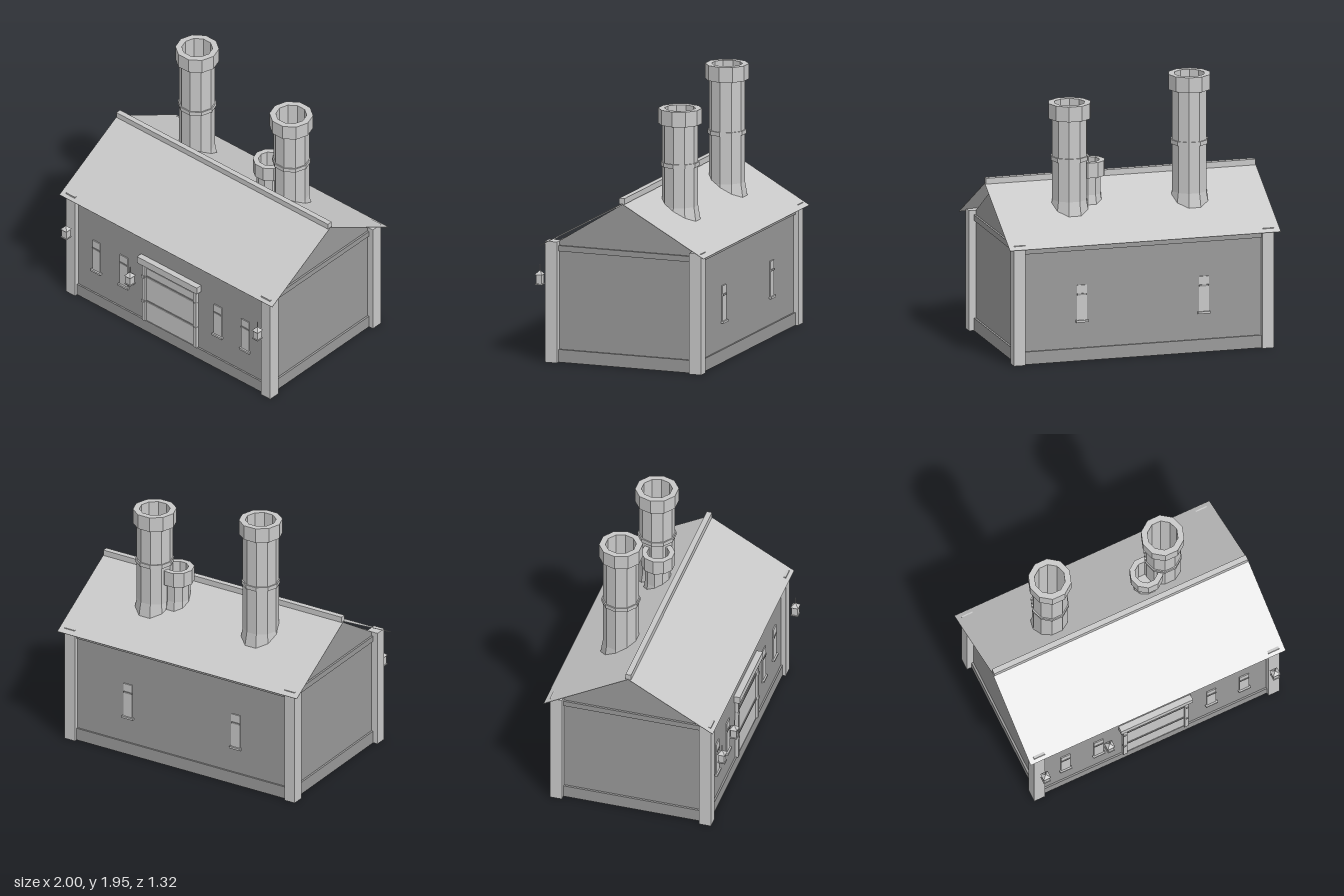
import * as THREE from 'three';

const light = new THREE.MeshStandardMaterial({ color: 0xc8c8c8 });
light.name = 'light grey';
const dark = new THREE.MeshStandardMaterial({ color: 0x999999 });
dark.name = 'dark grey';

const MID = -0.03; // z of the building's long axis

function add(parent, name, geometry, material) {
  const mesh = new THREE.Mesh(geometry, material);
  mesh.name = name;
  parent.add(mesh);
  return mesh;
}

// Box given by its lower and upper limits on each axis
function box(parent, name, x0, x1, y0, y1, z0, z1, material) {
  const mesh = add(parent, name, new THREE.BoxGeometry(x1 - x0, y1 - y0, z1 - z0), material);
  mesh.position.set((x0 + x1) / 2, (y0 + y1) / 2, (z0 + z1) / 2);
  return mesh;
}

function faceted(geometry) {
  const flat = geometry.toNonIndexed();
  flat.computeVertexNormals();
  return flat;
}

// Ten-sided hollow chimney: flared skirt, shaft, optional band, wide cap
function chimney(parent, name, x, z, r, capR, holeR, base, capY, top, bandY) {
  const pts = [[r + 0.02, base], [r, base + 0.12]];
  if (bandY) pts.push([r, bandY], [r + 0.009, bandY], [r + 0.009, bandY + 0.03], [r, bandY + 0.03]);
  pts.push([r, capY], [capR, capY], [capR, top], [holeR, top], [holeR, base + 0.1], [0, base + 0.1]);
  const geometry = new THREE.LatheGeometry(pts.map(p => new THREE.Vector2(...p)), 10);
  geometry.rotateY(Math.PI / 10);
  add(parent, name, faceted(geometry), light).position.set(x, 0, z);
}

// Lantern: square body, pyramid hood and hanging rod
function lantern(parent, x, y, z) {
  const g = new THREE.Group();
  g.name = 'lantern';
  box(g, 'lanternBody', -0.022, 0.022, 0, 0.075, -0.022, 0.022, light);
  box(g, 'lanternBase', -0.027, 0.027, 0, 0.008, -0.027, 0.027, light);
  const hood = new THREE.ConeGeometry(0.041, 0.03, 4);
  hood.rotateY(Math.PI / 4);
  add(g, 'lanternHood', faceted(hood), light).position.y = 0.088;
  box(g, 'lanternRod', -0.003, 0.003, 0.09, 0.145, -0.003, 0.003, light);
  g.position.set(x, y, z);
  parent.add(g);
}

// Narrow window with sill and crossbar; side is +1 on the front, -1 on the back
function windowSlit(parent, x, wallZ, side) {
  const g = new THREE.Group();
  g.name = 'window';
  box(g, 'pane', -0.036, 0.036, 0.295, 0.55, 0, 0.008, light);
  box(g, 'crossbar', -0.036, 0.036, 0.477, 0.49, 0, 0.013, dark);
  box(g, 'windowSill', -0.046, 0.046, 0.28, 0.295, 0, 0.02, light);
  g.position.set(x, 0, wallZ);
  if (side < 0) g.rotation.y = Math.PI;
  parent.add(g);
}

// Open rectangular rim standing under the floor
function rim(parent, name, x, z, w, d, t, y0, y1) {
  for (const s of [-1, 1]) {
    const cx = x + s * (w - t) / 2, cz = z + s * (d - t) / 2;
    box(parent, name, cx - t / 2, cx + t / 2, y0, y1, z - d / 2, z + d / 2, light);
    box(parent, name, x - w / 2 + t, x + w / 2 - t, y0, y1, cz - t / 2, cz + t / 2, light);
  }
}

export function createModel() {
  const model = new THREE.Group();
  model.name = 'workshop';

  // Walls and gables as one extruded pentagon
  const section = new THREE.Shape();
  section.moveTo(-0.56, 0.08);
  section.lineTo(0.56, 0.08);
  section.lineTo(0.56, 0.84);
  section.lineTo(0, 1.19);
  section.lineTo(-0.56, 0.84);
  section.closePath();
  const walls = new THREE.ExtrudeGeometry(section, { depth: 1.82, bevelEnabled: false });
  walls.translate(0, 0, -0.91);
  walls.rotateY(Math.PI / 2);
  add(model, 'walls', walls, dark).position.z = MID;

  // Sill and top beams around the walls
  for (const [name, y0, y1] of [['sillBeam', 0, 0.092], ['topBeam', 0.802, 0.843]]) {
    for (const s of [-1, 1]) {
      const z = MID + s * 0.55;
      box(model, name, -0.89, 0.89, y0, y1, z - 0.022, z + 0.022, dark);
      box(model, name, s * 0.905 - 0.02, s * 0.905 + 0.02, y0, y1, MID - 0.54, MID + 0.54, dark);
    }
  }

  // Corner posts
  for (const sx of [-1, 1]) for (const sz of [-1, 1]) {
    const x = sx * 0.918, z = MID + sz * 0.55;
    box(model, 'cornerPost', x - 0.043, x + 0.043, 0, 0.875, z - 0.045, z + 0.045, light);
  }

  // Roof sheets with thin battens below, and ridge cap
  const rise = 0.35, run = 0.625, slope = Math.atan2(rise, run), len = Math.hypot(rise, run);
  for (const s of [-1, 1]) {
    const side = new THREE.Group();
    side.name = s > 0 ? 'frontRoof' : 'backRoof';
    box(side, 'roofSheet', -1, 1, -0.004, 0, -len / 2, len / 2, light);
    for (let i = -5; i <= 5; i++) {
      const x = i * 0.165;
      box(side, 'roofBatten', x - 0.009, x + 0.009, -0.009, -0.004, -len / 2 + 0.015, len / 2 - 0.015, light);
    }
    side.position.set(0, 1.2 - rise / 2, MID - 0.005 + s * run / 2);
    side.rotation.x = s * slope;
    model.add(side);
  }
  box(model, 'ridgeCap', -0.995, 0.995, 1.195, 1.237, -0.055, -0.015, light);

  // Chimneys
  chimney(model, 'leftTallChimney', -0.445, -0.255, 0.128, 0.155, 0.11, 0.98, 1.84, 1.95, 1.445);
  chimney(model, 'rightTallChimney', 0.44, -0.255, 0.128, 0.155, 0.11, 0.98, 1.69, 1.8, 1.385);
  chimney(model, 'shortChimney', 0.285, -0.2, 0.092, 0.12, 0.08, 1.0, 1.25, 1.36, 0);

  // Windows
  const frontZ = MID + 0.56, backZ = MID - 0.56;
  for (const s of [-1, 1]) {
    windowSlit(model, s * 0.7, frontZ, 1);
    windowSlit(model, s * 0.442, frontZ, 1);
    windowSlit(model, s * 0.45, backZ, -1);
  }

  // Door with jambs, rails and header
  const door = new THREE.Group();
  door.name = 'door';
  box(door, 'doorPanel', -0.23, 0.23, 0.095, 0.555, 0, 0.009, light);
  for (const s of [-1, 1]) {
    box(door, 'doorJamb', s * 0.24 - 0.015, s * 0.24 + 0.015, 0.095, 0.595, 0, 0.025, light);
    for (const y of [0.267, 0.483])
      box(door, 'railEnd', s * 0.245 - 0.012, s * 0.245 + 0.012, y - 0.009, y + 0.009, 0, 0.03, light);
  }
  for (const y of [0.267, 0.483]) box(door, 'doorRail', -0.225, 0.225, y - 0.008, y + 0.008, 0, 0.015, dark);
  box(door, 'doorHeader', -0.283, 0.28, 0.595, 0.65, 0, 0.045, light);
  door.position.z = frontZ;
  model.add(door);

  // Lanterns at the front posts and beside the door
  lantern(model, -0.902, 0.545, 0.63);
  lantern(model, 0.897, 0.545, 0.63);
  lantern(model, -0.365, 0.36, 0.558);

  // Underfloor frame and hearth openings
  rim(model, 'floorFrame', 0, -0.05, 1.16, 0.89, 0.04, 0.03, 0.08);
  for (const sx of [-1, 1]) for (const sz of [-1, 1]) {
    const x = sx * 0.565, z = -0.05 + sz * 0.43;
    box(model, 'floorPost', x - 0.035, x + 0.035, 0, 0.08, z - 0.035, z + 0.035, light);
  }
  rim(model, 'hearthRim', 0.36, -0.31, 0.36, 0.25, 0.02, 0.01, 0.08);
  rim(model, 'hearthRim', -0.3, -0.31, 0.28, 0.2, 0.02, 0.01, 0.08);
  rim(model, 'hearthRim', -0.16, -0.04, 0.18, 0.18, 0.035, 0.01, 0.08);

  return model;
}
